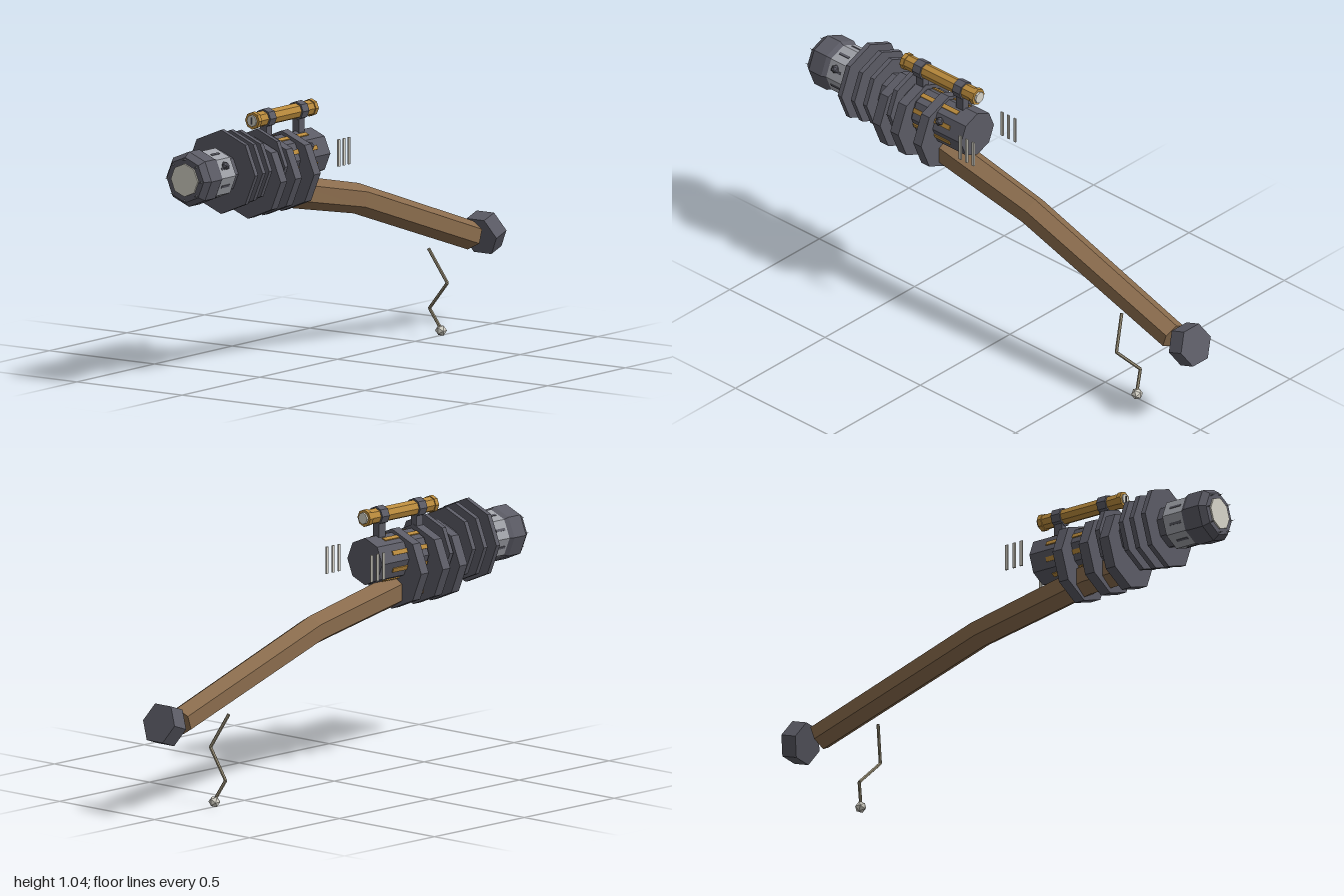
import * as THREE from 'three';

const mat = (name, color) => {
  const m = new THREE.MeshStandardMaterial({ color, flatShading: true });
  m.name = name;
  return m;
};

export function createModel() {
  const root = new THREE.Group();
  root.name = 'model';
  const iron = mat('dark iron', 0x5b5b65);
  const wood = mat('wood', 0x8a6c4d);
  const brass = mat('brass', 0xb98a3c);
  const steel = mat('steel', 0x9fa1a8);
  const ivory = mat('ivory', 0xd6d3c8);
  const cord = mat('cord', 0x9a9078);
  const AXIS = 0.835;

  const add = (name, geo, material, x = 0, y = 0, z = 0) => {
    const mesh = new THREE.Mesh(geo, material);
    mesh.name = name;
    mesh.position.set(x, y, z);
    root.add(mesh);
    return mesh;
  };
  // Prism along z between z0 (back) and z1 (front), a corner pointing up
  const prism = (name, material, y, z0, z1, rBack, rFront = rBack, sides = 8) => {
    const g = new THREE.CylinderGeometry(rFront, rBack, z1 - z0, sides).rotateX(Math.PI / 2);
    return add(name, g, material, 0, y, (z0 + z1) / 2);
  };
  // Thin rod between two points
  const rod = (name, material, a, b, r) => {
    const d = b.clone().sub(a);
    const mid = a.clone().add(b).multiplyScalar(0.5);
    const m = add(name, new THREE.CylinderGeometry(r, r, d.length(), 6), material, mid.x, mid.y, mid.z);
    m.quaternion.setFromUnitVectors(new THREE.Vector3(0, 1, 0), d.normalize());
  };

  // Receiver and barrel
  prism('receiver', iron, AXIS, 0.17, 0.43, 0.092);
  prism('barrel', iron, AXIS, 0.42, 0.79, 0.083);

  // Brass inlays on the receiver faces
  for (let i = 0; i < 8; i++) {
    const a = (i + 0.5) * Math.PI / 4;
    const m = add('receiverInlay', new THREE.BoxGeometry(0.009, 0.018, 0.19), brass,
      Math.cos(a) * 0.085, AXIS + Math.sin(a) * 0.085, 0.335);
    m.rotation.z = a;
  }

  // Cooling fins: position, radius
  for (const [z, r] of [[0.74, 0.163], [0.68, 0.154], [0.625, 0.145], [0.51, 0.135]]) {
    prism('coolingFin', iron, AXIS, z - 0.01, z + 0.01, r);
  }
  // Bands that clamp the barrel to the stock
  for (const z of [0.34, 0.46, 0.555]) {
    prism('clampBand', iron, 0.785, z - 0.021, z + 0.021, 0.156);
  }
  // Steel slivers along the barrel sides
  for (const s of [-1, 1]) {
    add('barrelSliver', new THREE.BoxGeometry(0.008, 0.012, 0.09), steel, s * 0.081, 0.85, 0.69);
  }

  // Muzzle
  prism('muzzleSleeve', steel, AXIS, 0.785, 0.9, 0.098);
  prism('muzzleRingBack', iron, AXIS, 0.872, 0.89, 0.098, 0.107);
  prism('muzzleRing', iron, AXIS, 0.89, 0.955, 0.107);
  prism('muzzleRingFront', iron, AXIS, 0.955, 0.98, 0.107, 0.088);
  prism('muzzleLens', ivory, AXIS, 0.97, 0.986, 0.064);
  for (let i = 0; i < 8; i++) {
    const a = i * Math.PI / 4;
    const tooth = new THREE.ConeGeometry(0.006, 0.035, 4).rotateX(Math.PI / 2);
    add('muzzleTooth', tooth, steel, Math.cos(a) * 0.079, AXIS + Math.sin(a) * 0.079, 0.982);
  }
  // Vent strips on the sleeve
  for (let i = 0; i < 8; i++) {
    const a = (i + 0.5) * Math.PI / 4;
    const m = add('sleeveVent', new THREE.BoxGeometry(0.006, 0.01, 0.05), iron,
      Math.cos(a) * 0.09, AXIS + Math.sin(a) * 0.09, 0.835);
    m.rotation.z = a;
  }

  // Side knobs
  for (const z of [0.837, 0.29]) {
    add('sideKnob', new THREE.IcosahedronGeometry(0.017, 0), iron, 0.085, 0.88, z);
  }

  // Scope with mounts
  prism('scopeTube', brass, 1.005, 0.165, 0.545, 0.03);
  for (const z of [0.165, 0.53]) prism('scopeRim', brass, 1.005, z, z + 0.018, 0.034);
  prism('scopeRearLens', ivory, 1.005, 0.157, 0.17, 0.023);
  prism('scopeFrontLens', ivory, 1.005, 0.54, 0.553, 0.023);
  add('scopeReticle', new THREE.BoxGeometry(0.005, 0.028, 0.004), iron, 0, 1.005, 0.554);
  for (const z of [0.46, 0.25]) {
    prism('scopeBand', iron, 1.005, z - 0.02, z + 0.02, 0.037);
    add('scopePost', new THREE.BoxGeometry(0.03, 0.1, 0.036), iron, 0, 0.935, z);
  }

  // Floating vertical plates behind the receiver
  for (const s of [-1, 1]) {
    for (const z of [0.15, 0.117, 0.083]) {
      add('floatingPlate', new THREE.BoxGeometry(0.006, 0.105, 0.012), ivory, s * 0.117, 0.837, z);
    }
  }

  // Bent six-sided stock: z, y, radius, lean of the cross-section
  const sections = [[0.57, 0.715, 0.064, 0], [0.38, 0.712, 0.064, 0.1],
    [-0.12, 0.612, 0.059, 0.27], [-0.857, 0.366, 0.056, 0.32]];
  const pos = [];
  const index = [];
  for (const [z, y, r, lean] of sections) {
    for (let i = 0; i < 6; i++) {
      const a = i * Math.PI / 3;
      const up = Math.cos(a) * r;
      pos.push(Math.sin(a) * r, y + up * Math.cos(lean), z - up * Math.sin(lean));
    }
  }
  for (let k = 0; k < 3; k++) {
    for (let i = 0; i < 6; i++) {
      const a = k * 6 + i, b = k * 6 + (i + 1) % 6;
      index.push(a, b, b + 6, a, b + 6, a + 6);
    }
  }
  for (let i = 1; i < 5; i++) {
    index.push(0, i + 1, i, 18, 18 + i, 19 + i);
  }
  const stock = new THREE.BufferGeometry();
  stock.setAttribute('position', new THREE.Float32BufferAttribute(pos, 3));
  // Reverse the winding when the first side faces inward
  const p = (i) => new THREE.Vector3().fromArray(pos, i * 3);
  const n = p(index[1]).sub(p(index[0])).cross(p(index[2]).sub(p(index[0])));
  if (n.x < 0) index.reverse();
  stock.setIndex(index);
  const flatStock = stock.toNonIndexed();
  flatStock.computeVertexNormals();
  add('stock', flatStock, wood);

  // Tilted butt cap
  const cap = new THREE.CylinderGeometry(0.083, 0.083, 0.068, 6).rotateY(Math.PI / 6).rotateX(Math.PI / 2);
  add('buttCap', cap, iron, 0, 0.365, -0.944).rotation.x = 0.33;

  // Hanging charm
  const path = [[0, 0.352, -0.587], [0.065, 0.22, -0.62], [-0.04, 0.108, -0.647], [0, 0.03, -0.666]]
    .map((v) => new THREE.Vector3(...v));
  for (let i = 0; i < 3; i++) rod('charmCord', cord, path[i], path[i + 1], 0.0065);
  add('charmBead', new THREE.IcosahedronGeometry(0.023, 0), ivory, 0, 0.023, -0.667);

  return root;
}
